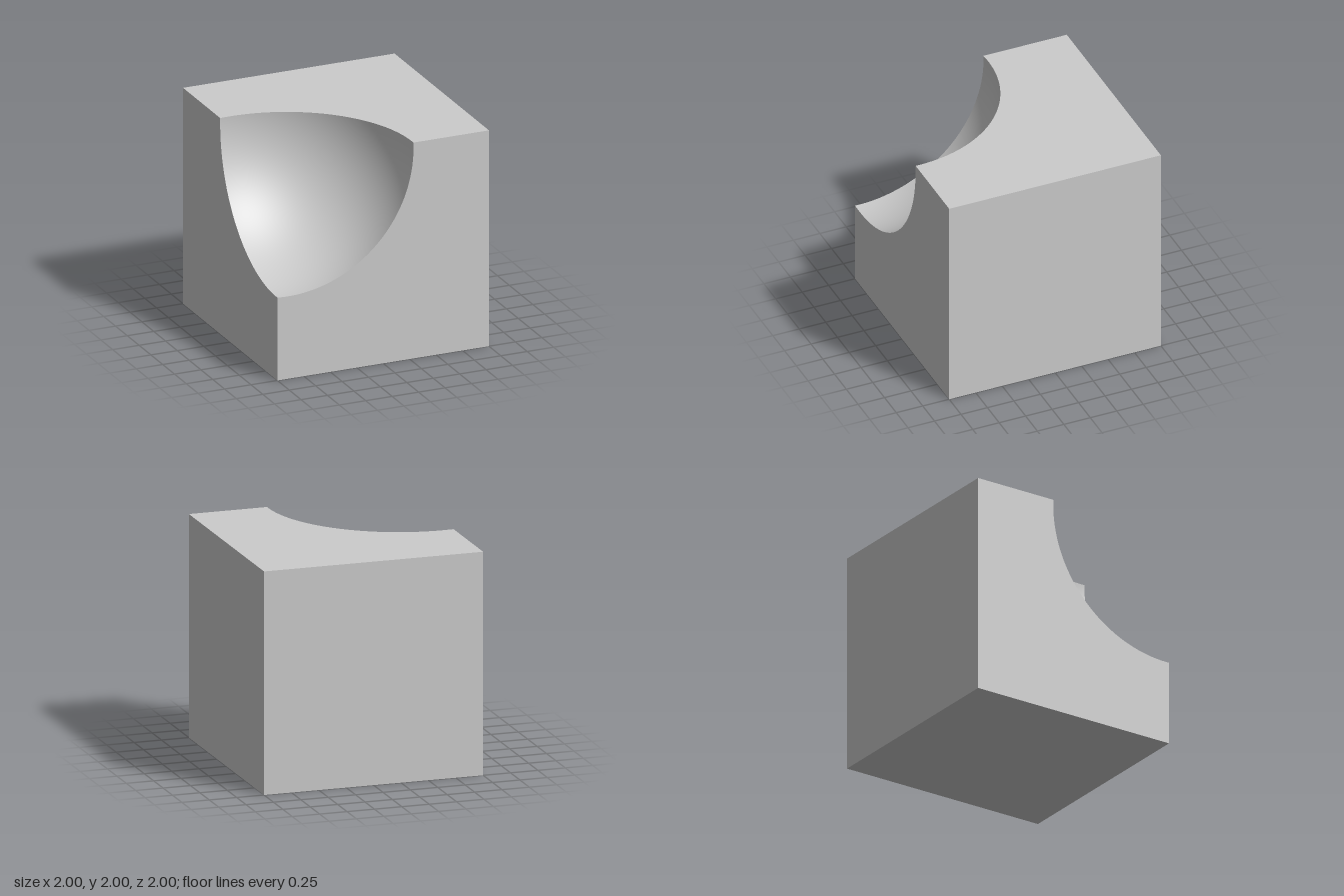
import * as THREE from 'three';

const STEPS = 64;
const CORNER = new THREE.Vector3(-1, 2, 1); // cube corner removed by the scoop
const CENTRE = new THREE.Vector3(-0.9, 1.95, 0.97); // scoop sphere
const RADIUS = 1.187;

// Cube edges leaving the removed corner
const ACROSS = new THREE.Vector3(1, 0, 0);
const DOWN = new THREE.Vector3(0, -1, 0);
const BACK = new THREE.Vector3(0, 0, -1);

// Point where a ray from the removed corner meets the scoop sphere
function scoopPoint(dir) {
  const m = CORNER.clone().sub(CENTRE);
  const b = m.dot(dir);
  const t = -b + Math.sqrt(b * b - m.lengthSq() + RADIUS * RADIUS);
  return CORNER.clone().addScaledVector(dir, t);
}

// Direction turning from axis a to axis b as t runs from 0 to 1
function turn(a, b, t) {
  const angle = t * Math.PI / 2;
  return a.clone().multiplyScalar(Math.cos(angle)).addScaledVector(b, Math.sin(angle));
}

// Surface from a rule point(u, v), with u and v from 0 to 1
function gridSurface(nu, nv, point) {
  const positions = [], index = [];
  for (let i = 0; i <= nu; i++) {
    for (let j = 0; j <= nv; j++) {
      positions.push(...point(i / nu, j / nv).toArray());
      if (i === nu || j === nv) continue;
      const a = i * (nv + 1) + j, b = a + nv + 1;
      index.push(a, b, b + 1, a, b + 1, a + 1);
    }
  }
  const geometry = new THREE.BufferGeometry();
  geometry.setAttribute('position', new THREE.Float32BufferAttribute(positions, 3));
  geometry.setIndex(index);
  geometry.computeVertexNormals();
  return geometry;
}

// Flat face between the scoop's arc and the square outline
function cutFace(a, b) {
  return gridSurface(STEPS, 1, (u, v) => {
    const dir = turn(a, b, u);
    const reach = 2 / Math.max(dir.dot(a), dir.dot(b));
    const outer = CORNER.clone().addScaledVector(dir, reach);
    return scoopPoint(dir).lerp(outer, v);
  });
}

// Spherical hollow, with normals pointing at the sphere's centre
function scoopSurface() {
  const geometry = gridSurface(STEPS, STEPS, (u, v) =>
    scoopPoint(turn(turn(ACROSS, BACK, u), DOWN, v)));
  const p = geometry.attributes.position, n = new THREE.Vector3();
  for (let i = 0; i < p.count; i++) {
    n.fromBufferAttribute(p, i).sub(CENTRE).normalize().negate();
    geometry.attributes.normal.setXYZ(i, n.x, n.y, n.z);
  }
  return geometry;
}

export function createModel() {
  const group = new THREE.Group();
  group.name = 'scoopedCube';
  const material = new THREE.MeshStandardMaterial({ color: 0xcccccc });
  const add = (name, geometry) => {
    const mesh = new THREE.Mesh(geometry, material);
    mesh.name = name;
    group.add(mesh);
  };

  // Three faces bitten by the scoop
  add('frontFace', cutFace(ACROSS, DOWN));
  add('topFace', cutFace(BACK, ACROSS));
  add('rightFace', cutFace(DOWN, BACK));

  // Three whole faces
  const square = () => new THREE.PlaneGeometry(2, 2);
  add('leftFace', square().rotateY(Math.PI / 2).translate(1, 1, 0));
  add('backFace', square().rotateY(Math.PI).translate(0, 1, -1));
  add('bottomFace', square().rotateX(Math.PI / 2));

  // Hollow in the corner
  add('scoop', scoopSurface());
  return group;
}
